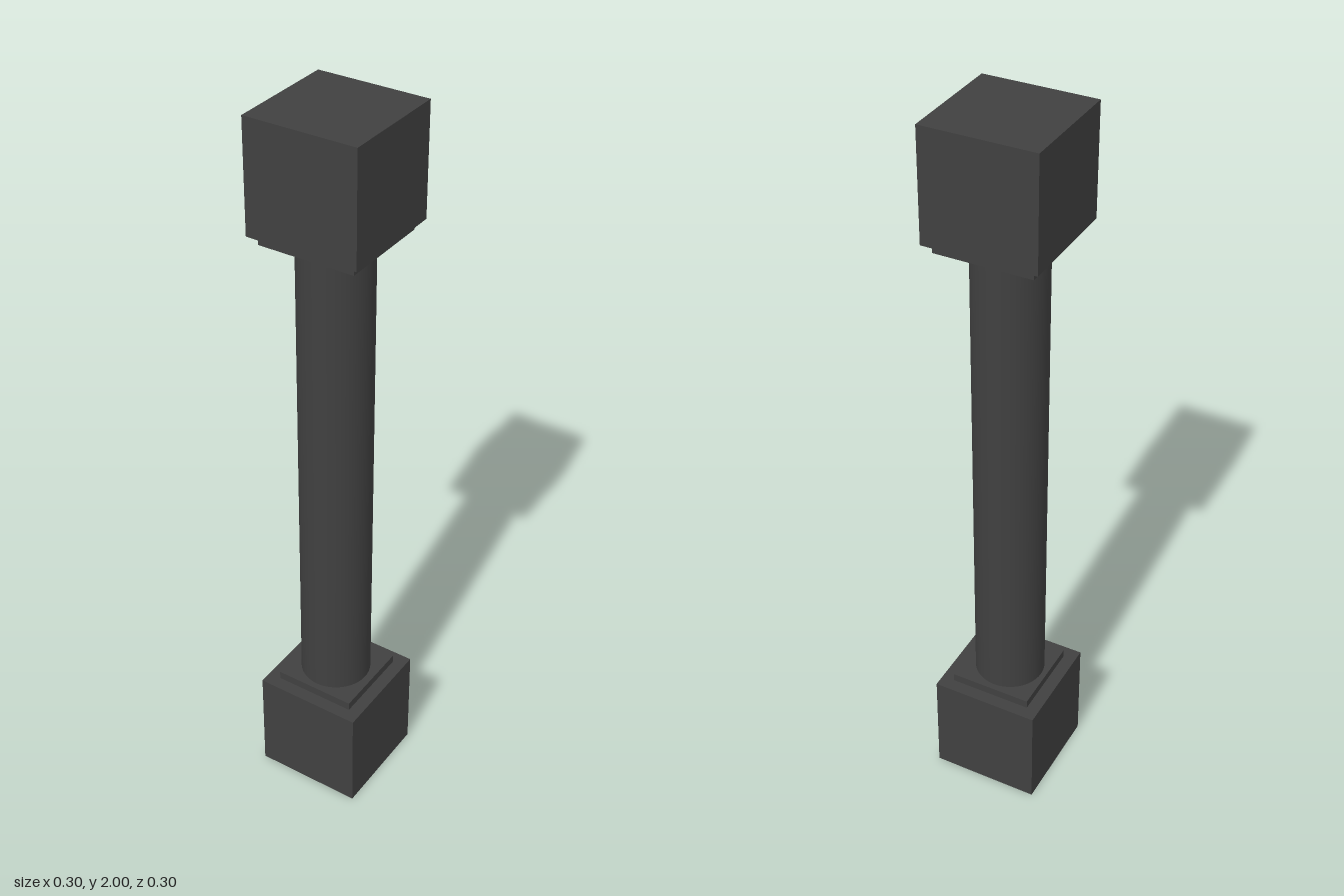
import * as THREE from 'three';

export function createModel() {
  const model = new THREE.Group();
  model.name = 'column';
  const stone = new THREE.MeshStandardMaterial({ color: 0x404040 });
  stone.name = 'dark grey stone';

  function add(name, geometry, x, y, z) {
    const mesh = new THREE.Mesh(geometry, stone);
    mesh.name = name;
    mesh.position.set(x, y, z);
    model.add(mesh);
  }

  // Square slab spanning bottom to top
  function slab(name, width, bottom, top) {
    add(name, new THREE.BoxGeometry(width, top - bottom, width), 0, (bottom + top) / 2, 0);
  }

  // Plinth and lower collar
  slab('baseBlock', 0.302, 0, 0.302);
  slab('lowerCollar', 0.23, 0.302, 0.325);

  // Round shaft, seated between the two collars
  add('shaft', new THREE.CylinderGeometry(0.097, 0.097, 1.352, 48), -0.003, 1.001, 0);

  // Upper collar and capital
  slab('upperCollar', 0.262, 1.677, 1.702);
  slab('capitalBlock', 0.302, 1.702, 2);

  return model;
}
